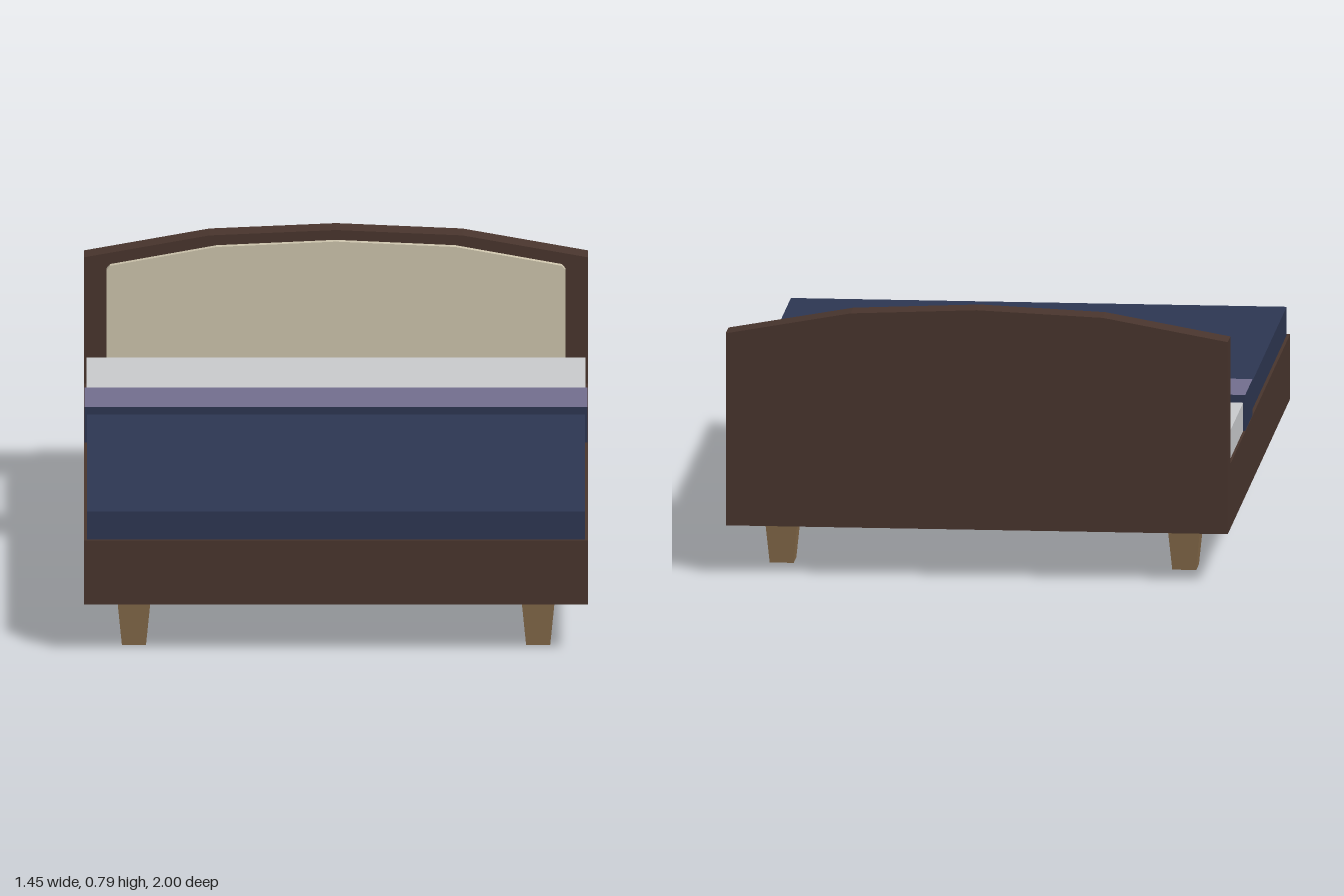
import * as THREE from 'three';

const paint = (name, color) => {
  const m = new THREE.MeshStandardMaterial({ color });
  m.name = name;
  return m;
};

export function createModel() {
  const bed = new THREE.Group();
  bed.name = 'bed';

  const darkWood = paint('dark wood', 0x4a362e);
  const lightWood = paint('light wood', 0x8b6f4d);
  const cream = paint('cream upholstery', 0xd0c7af);
  const navy = paint('navy blanket', 0x2e3753);
  const lilac = paint('lilac fold', 0x747090);
  const white = paint('white sheet', 0xcccdcf);

  const add = (name, geometry, material) => {
    const mesh = new THREE.Mesh(geometry, material);
    mesh.name = name;
    bed.add(mesh);
    return mesh;
  };

  // Box given by half width and its y and z ranges
  const slab = (name, halfX, y0, y1, z0, z1, material) =>
    add(name, new THREE.BoxGeometry(2 * halfX, y1 - y0, z1 - z0), material)
      .position.set(0, (y0 + y1) / 2, (z0 + z1) / 2);

  // Symmetric arched board: right-hand top points from the side to the middle
  const archedBoard = (name, bottom, top, z0, z1, material) => {
    const right = [[top[0][0], bottom], ...top];
    const left = right.slice(0, -1).reverse().map(([x, y]) => [-x, y]);
    const shape = new THREE.Shape([...right, ...left].map(([x, y]) => new THREE.Vector2(x, y)));
    const geometry = new THREE.ExtrudeGeometry(shape, { depth: z1 - z0, bevelEnabled: false });
    add(name, geometry.translate(0, 0, z0), material);
  };

  // Frame and headboard
  slab('bedBase', 0.727, 0.147, 0.337, -0.915, 1, darkWood);
  archedBoard('headboard', 0.147, [[0.727, 0.712], [0.365, 0.777], [0, 0.793]], -1, -0.915, darkWood);
  archedBoard('headboardPanel', 0.337,
    [[0.662, 0.68], [0.652, 0.692], [0.345, 0.748], [0, 0.764]], -0.915, -0.893, cream);

  // Bedding; only the top of the fold shows its lining
  slab('mattress', 0.72, 0.337, 0.42, -0.893, -0.43, white);
  slab('blanket', 0.718, 0.337, 0.42, -0.195, 0.985, navy);
  slab('blanketFold', 0.726, 0.337, 0.443, -0.43, -0.195, [navy, navy, lilac, navy, navy, navy]);

  // Tapered square legs
  for (const x of [-0.583, 0.583]) {
    for (const z of [-0.758, 0.845]) {
      const geometry = new THREE.BoxGeometry(0.098, 0.147, 0.12);
      const p = geometry.attributes.position;
      for (let i = 0; i < p.count; i++) {
        if (p.getY(i) < 0) p.setXYZ(i, p.getX(i) * 0.71, p.getY(i), p.getZ(i) * 0.71);
      }
      geometry.computeVertexNormals();
      add('leg', geometry, lightWood).position.set(x, 0.0735, z);
    }
  }

  return bed;
}
